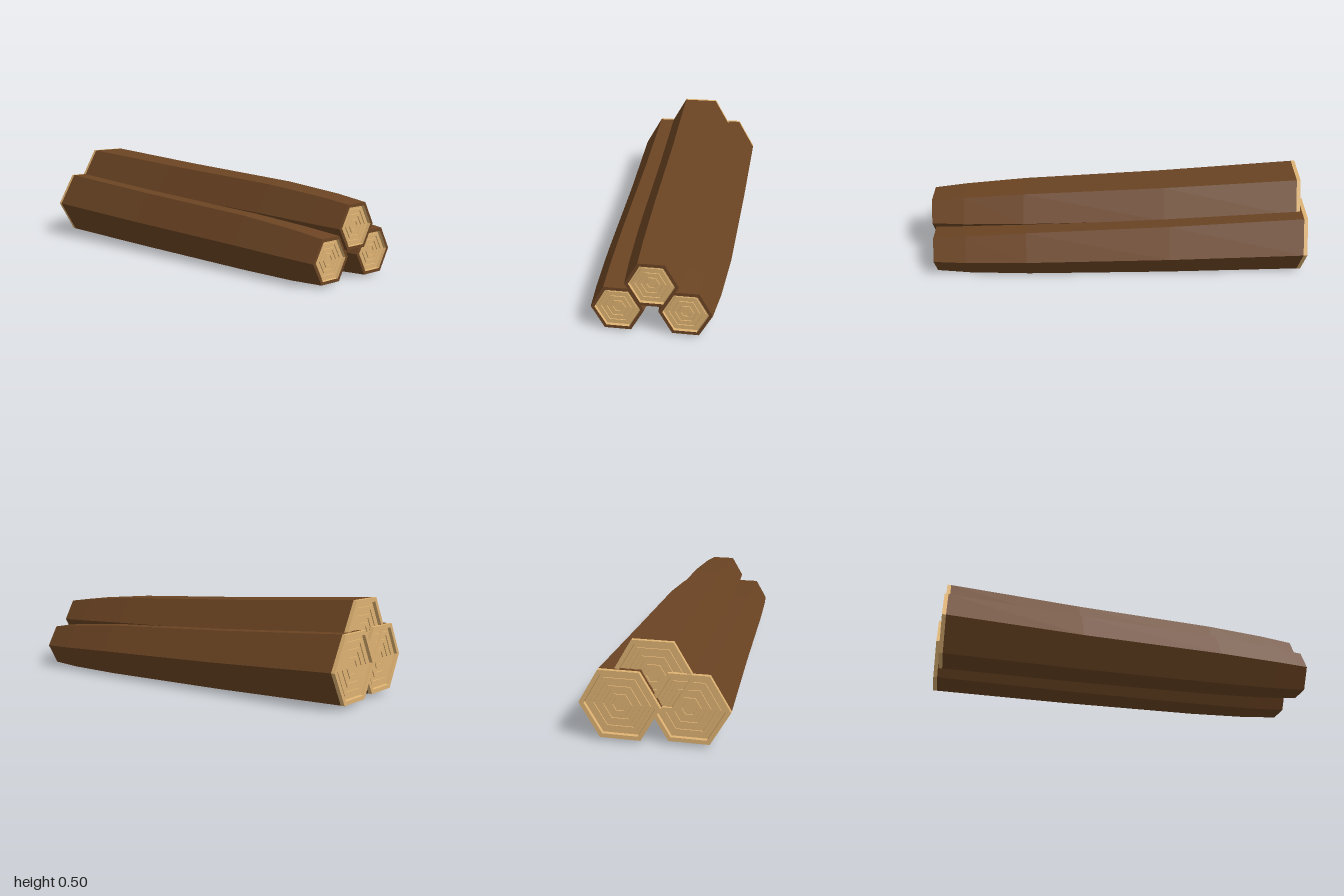
import * as THREE from 'three';

const bark = new THREE.MeshStandardMaterial({ color: 0x6b4423, flatShading: true });
const wood = new THREE.MeshStandardMaterial({ color: 0xdeb272, flatShading: true });
const SIDES = 6;

// Skin a list of hexagonal sections {x, y, z, r}, ordered from -x to +x
function loft(name, sections, material) {
  const positions = [], indices = [];
  for (const s of sections) {
    for (let j = 0; j < SIDES; j++) {
      const a = (j / SIDES) * Math.PI * 2;
      positions.push(s.x, s.y + s.r * Math.sin(a), s.z + s.r * Math.cos(a));
    }
  }
  for (let i = 0; i < sections.length - 1; i++) {
    for (let j = 0; j < SIDES; j++) {
      const k = (j + 1) % SIDES;
      const a = i * SIDES + j, b = i * SIDES + k;
      const c = a + SIDES, d = b + SIDES;
      indices.push(a, c, b, b, c, d);
    }
  }
  const geometry = new THREE.BufferGeometry();
  geometry.setAttribute('position', new THREE.Float32BufferAttribute(positions, 3));
  geometry.setIndex(indices);
  geometry.computeVertexNormals();
  const mesh = new THREE.Mesh(geometry, material);
  mesh.name = name;
  return mesh;
}

// Bent, tapering trunk: [position along the log, dy, dz, radius]
const trunk = [
  [0, 0, 0, 0.193],
  [0.36, -0.027, -0.019, 0.176],
  [0.745, -0.048, -0.033, 0.159],
  [0.91, -0.061, -0.034, 0.142],
  [1, -0.068, -0.032, 0.125],
];

// Recessed end grain, stepped into growth rings; dir is the way the end faces
function endGrain(end, rim, dir) {
  const steps = [];
  const floor = end.x - dir * 0.016;
  steps.push({ ...end, r: rim }, { ...end, r: rim * 0.985, x: floor });
  const rings = 7;
  for (let i = 1; i < rings; i++) {
    const r = rim * (1 - i / (rings + 0.6));
    const outer = floor + dir * (i % 2 ? 0 : 0.004);
    const inner = floor + dir * (i % 2 ? 0.004 : 0);
    steps.push({ ...end, r, x: outer }, { ...end, r: r - 0.001, x: inner });
  }
  steps.push({ ...end, r: 0.0001, x: steps[steps.length - 1].x });
  return dir > 0 ? steps : steps.reverse();
}

function makeLog(name, y, z, x0, x1) {
  const log = new THREE.Group();
  log.name = name;
  const lip = 0.02;
  const sections = trunk.map(([t, dy, dz, r]) => ({
    x: THREE.MathUtils.lerp(x0 + lip, x1, t), y: y + dy, z: z + dz, r,
  }));
  const first = sections[0], last = sections[sections.length - 1];

  // Bark with a flat rim around the narrow end
  const rim = last.r * 0.86;
  log.add(loft('bark', [...sections, { ...last, r: rim }], bark));
  log.add(loft('narrowEndGrain', endGrain(last, rim, 1), wood));

  // Pale lip of bare wood at the thick end
  const thick = { ...first, x: x0 };
  log.add(loft('thickEndGrain', [...endGrain(thick, first.r * 0.88, -1), thick, first], wood));
  return log;
}

export function createModel() {
  const model = new THREE.Group();
  model.name = 'logPile';
  model.add(
    makeLog('frontLog', 0.186, 0.16, -0.975, 0.985),
    makeLog('backLog', 0.186, -0.157, -1, 0.985),
    makeLog('topLog', 0.33, -0.004, -0.97, 1),
  );
  return model;
}
